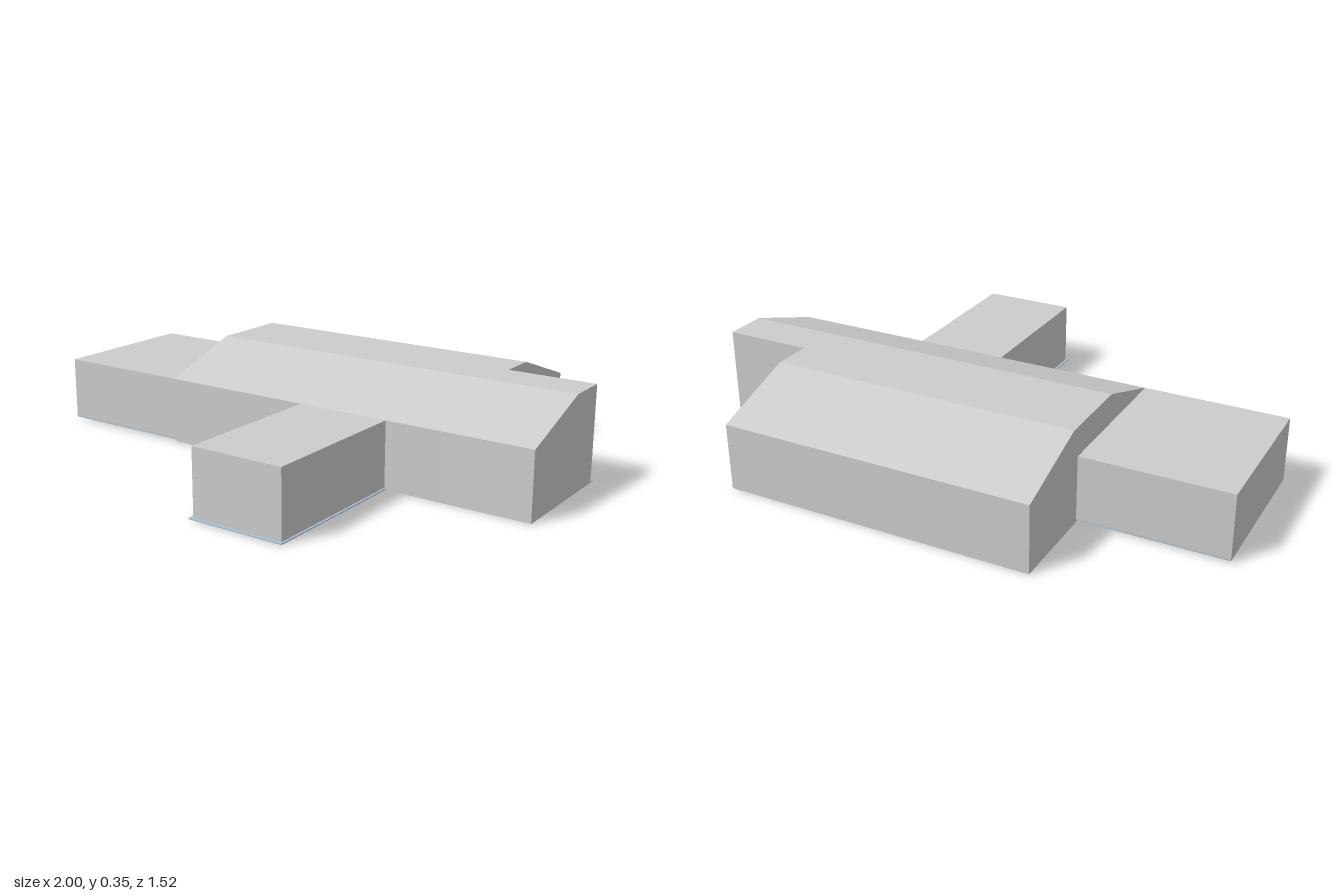
import * as THREE from 'three';

export function createModel() {
  const model = new THREE.Group();
  const grey = new THREE.MeshStandardMaterial({ color: 0xcccccc });
  grey.name = 'light grey';
  const blue = new THREE.MeshStandardMaterial({ color: 0xabbfd0 });
  blue.name = 'pale blue';

  const add = (name, geometry, material) => {
    const mesh = new THREE.Mesh(geometry, material);
    mesh.name = name;
    model.add(mesh);
  };
  // Box given by its limits on each axis
  const block = (name, [x0, x1], [y0, y1], [z0, z1], material) => {
    const g = new THREE.BoxGeometry(x1 - x0, y1 - y0, z1 - z0);
    g.translate((x0 + x1) / 2, (y0 + y1) / 2, (z0 + z1) / 2);
    add(name, g, material);
  };
  // Cross-section of [z, y] points swept along x
  const sweep = (name, points, x0, x1) => {
    const shape = new THREE.Shape(points.map(([z, y]) => new THREE.Vector2(-z, y)));
    const g = new THREE.ExtrudeGeometry(shape, { depth: x1 - x0, bevelEnabled: false });
    g.rotateY(Math.PI / 2).translate(x0, 0, 0);
    add(name, g, grey);
  };

  // Main hall: flat ridge between two sloped roof sides
  const eave = 0.245, ridge = 0.352, base = 0.005;
  const front = [[0.162, base], [0.162, eave], [-0.15, ridge]];
  sweep('mainHall', [...front, [-0.45, ridge], [-0.762, eave], [-0.762, base]], -0.472, 0.67);

  // End bay, cut off along the ridge to leave the rear notch
  sweep('endBay', [...front, [-0.308, ridge], [-0.308, base]], 0.67, 0.997);

  // Floor slabs, the end bay's slab showing slightly in the notch
  block('mainFloor', [-0.472, 0.67], [0, base], [-0.762, 0.162], grey);
  block('endBayFloor', [0.67, 0.997], [0, base], [-0.326, 0.162], grey);

  // Flat-roofed side wing
  block('sideWing', [-1, -0.472], [0.012, eave], [-0.418, 0.162], grey);
  block('sideWingFloor', [-1, -0.472], [0.007, 0.012], [-0.418, 0.162], blue);

  // Flat-roofed front wing on a slightly wider floor
  block('frontWing', [0.11, 0.457], [0.007, eave], [0.162, 0.747], grey);
  block('frontWingFloor', [0.1, 0.465], [0.003, 0.007], [0.162, 0.759], blue);

  return model;
}
